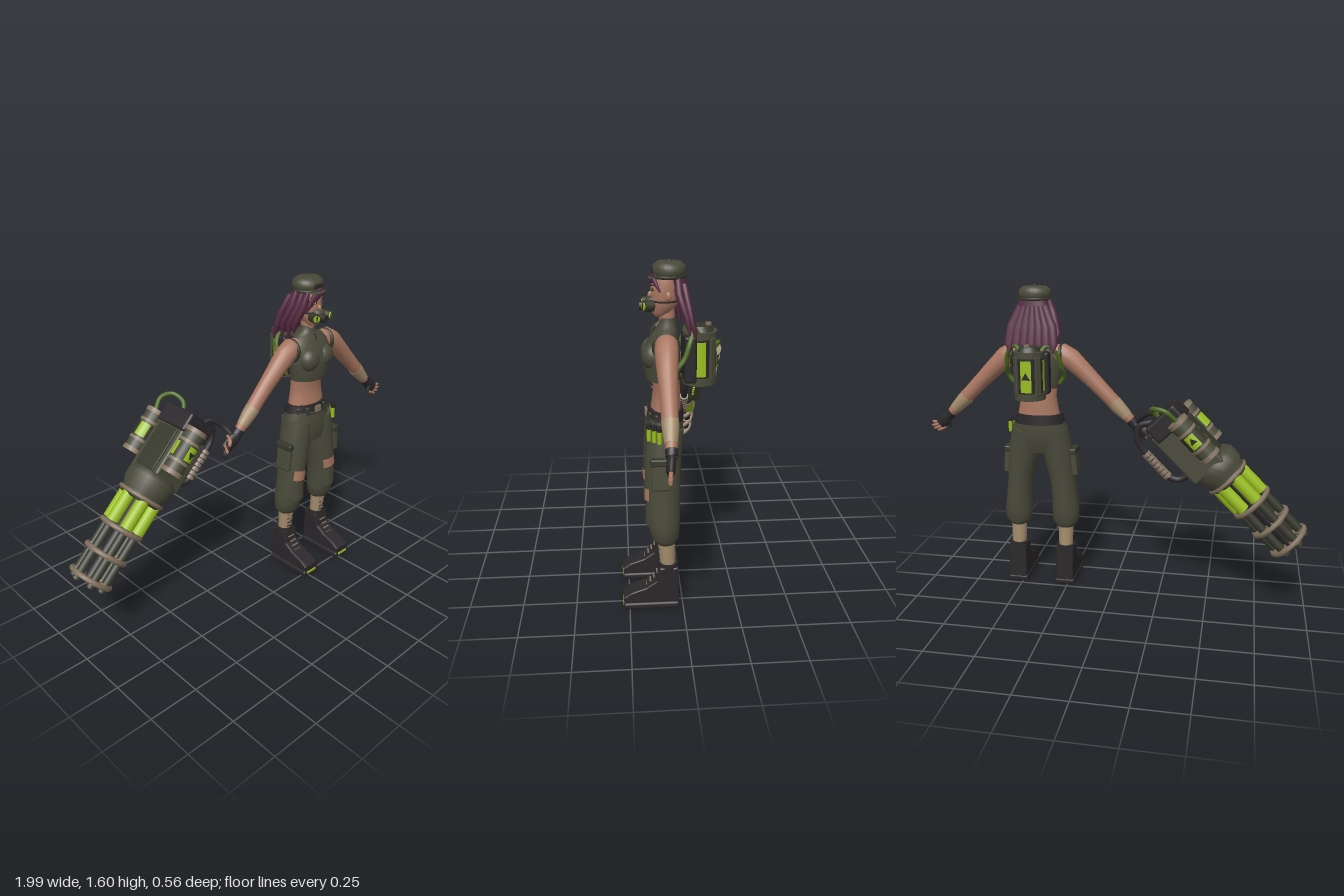
import * as THREE from 'three';
import { RoundedBoxGeometry } from 'three/addons/geometries/RoundedBoxGeometry.js';

const paint = (name, color) => {
  const m = new THREE.MeshStandardMaterial({ color });
  m.name = name;
  return m;
};
const CX = 0.395; // centre line of the figure

// Skin over elliptical rings [x, y, z, radius across, radius in z], closed at both ends
function loft(rings, n = 16) {
  const pos = [], idx = [];
  const ring = (i) => {
    const a = rings[Math.max(i - 1, 0)], b = rings[Math.min(i + 1, rings.length - 1)], c = rings[i];
    const d = Math.hypot(b[0] - a[0], b[1] - a[1]) || 1;
    const ux = (b[1] - a[1]) / d, uy = -(b[0] - a[0]) / d;
    const start = pos.length / 3;
    for (let j = 0; j < n; j++) {
      const t = (j / n) * Math.PI * 2, k = Math.cos(t) * c[3];
      pos.push(c[0] + ux * k, c[1] + uy * k, c[2] + Math.sin(t) * c[4]);
    }
    return start;
  };
  const starts = rings.map((_, i) => ring(i));
  for (let i = 0; i < rings.length - 1; i++) for (let j = 0; j < n; j++) {
    const k = (j + 1) % n, p = starts[i], q = starts[i + 1];
    idx.push(p + j, q + j, p + k, p + k, q + j, q + k);
  }
  [0, rings.length - 1].forEach((i) => {
    const s = ring(i), c = pos.length / 3;
    pos.push(rings[i][0], rings[i][1], rings[i][2]);
    for (let j = 0; j < n; j++) {
      const k = (j + 1) % n;
      if (i === 0) idx.push(c, s + j, s + k); else idx.push(c, s + k, s + j);
    }
  });
  const g = new THREE.BufferGeometry();
  g.setAttribute('position', new THREE.Float32BufferAttribute(pos, 3));
  g.setIndex(idx);
  g.computeVertexNormals();
  return g;
}
const hose = (pts, r) => new THREE.TubeGeometry(
  new THREE.CatmullRomCurve3(pts.map((p) => new THREE.Vector3(...p))), 28, r, 8);
const ball = (x, y, z) => new THREE.SphereGeometry(1, 20, 14).scale(x, y, z);
const cyl = (r, h, n = 16, r2 = r) => new THREE.CylinderGeometry(r, r2, h, n);
const box = (x, y, z, r = 0.008) => new RoundedBoxGeometry(x, y, z, 2, r);
const patch = (r, h, from, sweep) => new THREE.CylinderGeometry(r, r, h, 12, 1, true, from, sweep);

export function createModel() {
  const M = {
    skin: paint('skin', 0xa87660), olive: paint('olive cloth', 0x49493a), deep: paint('dark olive metal', 0x36372b),
    dark: paint('charcoal', 0x2b272a), green: paint('bright green', 0x98bd1e), hose: paint('hose green', 0x4d6a22),
    hair: paint('plum hair', 0x552a40), tan: paint('tan metal', 0x82725f), wrap: paint('bandage', 0xa38c6c),
  };
  const root = new THREE.Group();
  const add = (name, geo, mat, p = [0, 0, 0], r = [0, 0, 0], parent = root) => {
    const m = new THREE.Mesh(geo, mat);
    m.name = name;
    m.position.set(...p);
    m.rotation.set(...r);
    parent.add(m);
    return m;
  };

  // Torso, top and belt
  add('midriff', loft([[CX, .92, .07, .115, .07], [CX, .98, .067, .102, .064], [CX, 1.04, .065, .095, .06], [CX, 1.1, .075, .1, .066]], 24), M.skin);
  add('cropTop', loft([[CX, 1.08, .08, .108, .078], [CX, 1.15, .085, .121, .083], [CX, 1.22, .082, .128, .078],
    [CX, 1.275, .072, .122, .058], [CX, 1.305, .064, .085, .045], [CX, 1.32, .06, .042, .036], [CX, 1.35, .06, .037, .033]], 24), M.olive);
  for (const s of [-1, 1]) add('bust', ball(.058, .06, .05), M.olive, [CX + s * .052, 1.19, .126]);
  add('topZip', box(.006, .09, .006, .002), M.dark, [CX, 1.27, .128], [-.35, 0, 0]);
  add('belt', loft([[CX, .895, .073, .134, .086], [CX, .945, .07, .124, .08]], 24), M.dark);
  add('buckle', box(.04, .036, .012, .003), M.tan, [CX, .92, .157]);
  for (const d of [-.1, -.06, .06, .1]) add('beltPouch', box(.026, .045, .02), M.deep, [CX + d, .915, .154 - d * d * 4], [0, d * 5, 0]);
  for (const i of [0, 1, 2]) {
    add('hipVial', cyl(.01, .065, 10), M.green, [.525 + i * .02, .86, .15 - i * .022]);
    add('vialCap', cyl(.0125, .022, 10), M.dark, [.525 + i * .02, .895, .15 - i * .022]);
  }

  // Trousers
  add('hips', loft([[CX, .91, .073, .13, .084], [CX, .86, .076, .147, .086], [CX, .8, .08, .155, .086], [CX, .74, .085, .13, .07]], 24), M.olive);

  for (const s of [-1, 1]) {
    const X = (d) => CX + s * d;
    add('trouserLeg', loft([[X(.075), .86, .077, .072, .084], [X(.09), .75, .085, .08, .083], [X(.106), .65, .09, .073, .081],
      [X(.117), .57, .091, .067, .079], [X(.125), .48, .09, .069, .077], [X(.13), .41, .086, .073, .072],
      [X(.13), .355, .082, .07, .064], [X(.13), .325, .078, .045, .044]], 18), M.olive);
    add('kneeTear', patch(1, .055, -.7, 1.4).scale(.069, 1, .081), M.skin, [X(.117), .57, .092], [0, 0, s * .16]);
    add('kneePanel', patch(1, .1, -.6, 1.2).scale(.0715, 1, .079), M.olive, [X(.124), .475, .091]);
    add('cargoPocket', box(.034, .14, .09, .012), M.olive, [X(.18), .68, .1], [0, 0, s * .08]);
    add('pocketFlap', box(.038, .034, .096), M.deep, [X(.176), .742, .1], [0, 0, s * .08]);

    // Shins and boots
    add('shinWrap', loft([[X(.13), .19, .067, .036, .034], [X(.13), .26, .073, .039, .037], [X(.13), .35, .078, .042, .04]]), M.wrap);
    for (const y of [.235, .262, .289, .315]) add('shinLace', box(.042, .006, .004, .001), M.dark, [X(.13), y, .109], [0, 0, y > .25 ? .3 : -.3]);
    const side = new THREE.Shape([[.025, .03], [.268, .03], [.272, .058], [.24, .08], [.17, .105], [.12, .14], [.105, .205], [.03, .205]]
      .map((p) => new THREE.Vector2(...p)));
    const boot = new THREE.ExtrudeGeometry(side, { depth: .074, bevelEnabled: true, bevelSize: .006, bevelThickness: .01, bevelSegments: 2 });
    add('boot', boot.translate(0, 0, -.037).rotateY(-Math.PI / 2), M.dark, [X(.13), 0, 0]);
    add('sole', box(.108, .034, .262, .012), M.dark, [X(.13), .017, .148]);
    add('toeGlow', box(.07, .014, .006, .002), M.green, [X(.13), .022, .278]);
    add('bootCuff', loft([[X(.13), .195, .066, .051, .045], [X(.13), .222, .066, .051, .045]]), M.dark);
    for (const i of [0, 1, 2, 3]) add('bootLace', box(.042, .006, .008, .002), M.tan, [X(.13), .11 + i * .021, .168 - i * .016]);

    // Arms
    add('arm', loft([[X(.08), 1.265, .07, .035, .035], [X(.125), 1.257, .072, .052, .05], [X(.17), 1.23, .074, .054, .051],
      [X(.225), 1.18, .075, .047, .045], [X(.3), 1.107, .075, .041, .038], [X(.35), 1.057, .075, .038, .036],
      [X(.4), 1.005, .075, .037, .035], [X(.46), .945, .075, .028, .026], [X(.5), .905, .075, .023, .021]]), M.skin);
    add('forearmWrap', loft([[X(.39), 1.015, .075, .0385, .0365], [X(.415), .99, .075, .037, .035], [X(.46), .945, .075, .0295, .0275]]), M.wrap);
    add('shoulderStrap', new THREE.TorusGeometry(.052, .01, 8, 24), M.deep, [X(.125), 1.245, .072], [0, Math.PI / 2, 0]);
    add('gloveCuff', loft([[X(.478), .927, .075, .029, .027], [X(.5), .905, .075, .027, .025]]), M.dark);

    // Pack hose from the tank over to the ribs
    add('packHose', hose([[X(.045), 1.27, -.08], [X(.08), 1.31, -.05], [X(.125), 1.27, -.03], [X(.14), 1.2, -.005], [X(.145), 1.15, .03], [X(.12), 1.11, .04]], .011), M.hose);
  }

  // Open hand
  add('openPalm', loft([[.89, .91, .076, .024, .018], [.92, .882, .08, .034, .019], [.95, .858, .083, .03, .015]]), M.dark);
  [[.992, .868, .967], [.997, .845, .955], [.985, .828, .945], [.965, .818, .932]].forEach(([x, y, k], i) =>
    add('finger', loft([[k - .012, .87 - i * .01, .083, .009, .009], [(x + k) / 2, (y + .86 - i * .01) / 2, .085, .0085, .009], [x, y, .086, .005, .006]], 8), M.skin));
  add('thumb', loft([[.905, .88, .085, .011, .011], [.897, .855, .09, .01, .01], [.893, .838, .092, .006, .006]], 8), M.dark);
  // Closed hand
  add('gripPalm', loft([[-.1, .908, .075, .025, .024], [-.132, .885, .074, .038, .026], [-.17, .86, .072, .03, .022]]), M.dark);
  for (let i = 0; i < 4; i++) add('curledFinger', hose([[-.145 - i * .013, .91 - i * .017, .06], [-.163 - i * .01, .9 - i * .017, .095],
    [-.172 - i * .008, .88 - i * .016, .1], [-.165 - i * .008, .868 - i * .014, .075]], .0095), i % 2 ? M.dark : M.skin);

  // Head and face
  add('neck', loft([[CX, 1.3, .06, .036, .034], [CX, 1.4, .062, .032, .034]]), M.skin);
  add('head', loft([[CX, 1.355, .092, .02, .022], [CX, 1.375, .084, .041, .044], [CX, 1.41, .073, .055, .058],
    [CX, 1.45, .069, .061, .062], [CX, 1.5, .067, .063, .063], [CX, 1.54, .063, .052, .052]], 24), M.skin);
  add('nose', ball(.008, .017, .012), M.skin, [CX, 1.447, .133]);
  for (const s of [-1, 1]) {
    add('ear', ball(.009, .02, .013), M.skin, [CX + s * .062, 1.45, .058]);
    add('eye', ball(.014, .006, .004), M.dark, [CX + s * .027, 1.475, .126], [0, s * .4, 0]);
    add('iris', ball(.005, .005, .003), M.green, [CX + s * .027, 1.475, .129], [0, s * .4, 0]);
    add('brow', box(.03, .006, .006, .002), M.hair, [CX + s * .028, 1.493, .126], [0, s * .4, s * .15]);
    add('maskFilter', cyl(.025, .04, 16), M.deep, [CX + s * .043, 1.408, .143], [Math.PI / 2, 0, -s * .35]);
    add('filterLens', cyl(.017, .006, 16), M.green, [CX + s * .05, 1.408, .164], [Math.PI / 2, 0, -s * .35]);
    add('lensBar', box(.005, .03, .004, .001), M.dark, [CX + s * .051, 1.408, .168], [0, s * .35, 0]);
  }
  add('mask', ball(.042, .036, .034), M.olive, [CX, 1.412, .124]);
  add('maskSnout', cyl(.018, .035, 14, .023), M.dark, [CX, 1.402, .164], [Math.PI / 2, 0, 0]);
  add('maskStrap', new THREE.TorusGeometry(1, .06, 6, 32).rotateX(Math.PI / 2).scale(.061, .07, .062), M.dark, [CX, 1.425, .072]);

  // Cap
  const cap = new THREE.LatheGeometry([[.066, 0], [.078, .012], [.083, .032], [.077, .052], [.058, .066], [0, .07]]
    .map((p) => new THREE.Vector2(...p)), 24);
  add('cap', cap.scale(1, 1, .9), M.olive, [CX, 1.523, .052]);
  add('capBand', new THREE.TorusGeometry(.074, .008, 8, 28).rotateX(Math.PI / 2).scale(1, 1, .93), M.deep, [CX, 1.53, .054]);
  add('capBrim', ball(.06, .007, .045), M.olive, [CX, 1.528, .1], [.15, 0, 0]);
  add('capPlate', box(.06, .02, .008, .003), M.dark, [CX, 1.555, .124]);
  add('capButton', ball(.01, .006, .01), M.deep, [CX, 1.593, .052]);

  // Hair: a back sheet with separate locks
  add('hairBack', loft([[CX, 1.545, .025, .05, .04], [CX, 1.5, .012, .075, .032], [CX, 1.44, -.004, .088, .024],
    [CX, 1.37, -.024, .105, .019], [CX, 1.31, -.042, .11, .013]], 24), M.hair);
  for (let i = 0; i < 7; i++) {
    const d = (i - 3) / 3, x = CX + d * .1;
    add('hairLock', loft([[CX + d * .06, 1.5, -.006, .018, .016], [x, 1.4, -.026, .026, .016], [x + d * .012, 1.32, -.046, .024, .013],
      [x + d * .01, 1.275 + (i % 2) * .015, -.055, .004, .004]], 10), M.hair);
  }
  [[.335, .075, .29, 1.285], [.345, .1, .302, 1.32], [.325, .045, .278, 1.3], [.45, .02, .505, 1.29]].forEach(([x, z, x2, y2]) =>
    add('sideLock', loft([[x, 1.53, z, .012, .014], [x - .002 + (x2 - x) * .4, 1.46, z - .005, .022, .018],
      [x2, 1.37, z - .035, .022, .016], [x2 + .005, y2, z - .05, .004, .004]], 10), M.hair));
  add('fringe', loft([[.44, 1.54, .1, .012, .012], [.405, 1.523, .124, .024, .012], [.365, 1.49, .121, .024, .013], [.336, 1.43, .1, .005, .006]], 12), M.hair);
  add('fringeShort', loft([[.41, 1.54, .11, .01, .01], [.437, 1.515, .118, .016, .01], [.457, 1.47, .095, .004, .005]], 10), M.hair);

  // Tank pack
  add('packFrame', box(.18, .21, .055, .012), M.dark, [CX, 1.175, -.035]);
  add('packTank', cyl(.07, .2, 20), M.dark, [CX, 1.175, -.085]);
  for (const [y, h] of [[1.275, .03], [1.07, .034]]) add('tankCap', cyl(.077, h, 20), M.olive, [CX, y, -.083]);
  add('tankLid', cyl(.045, .025, 16, .06), M.deep, [CX, 1.3, -.085]);
  add('tankValve', cyl(.014, .018, 10), M.tan, [CX, 1.315, -.12]);
  for (const a of [-1.7, 0, 1.7]) add('tankPanel', patch(.073, .155, Math.PI + a - .38, .76), M.green, [CX, 1.173, -.085]);
  for (const a of [-.85, .85]) add('tankRib', box(.03, .19, .02, .004), M.olive, [CX + Math.sin(a) * .07, 1.172, -.085 - Math.cos(a) * .07], [0, -a, 0]);
  add('tankMark', cyl(.024, .006, 3), M.dark, [CX, 1.17, -.157], [-Math.PI / 2, 0, 0]);

  // Rotary gun: local y runs from the muzzle to the rear
  const gun = new THREE.Group();
  gun.name = 'rotaryGun';
  gun.position.set(-.917, .364, -.065);
  gun.rotation.z = -Math.PI / 4;
  root.add(gun);
  const part = (name, geo, mat, p, r) => add(name, geo, mat, p, r, gun);
  part('spindle', cyl(.034, .47, 12), M.dark, [0, .255, 0]);
  for (let i = 0; i < 6; i++) {
    const a = (i / 6) * Math.PI * 2, x = Math.cos(a) * .078, z = Math.sin(a) * .078;
    part('barrel', cyl(.022, .48, 12), M.deep, [x, .24, z]);
    part('glowTube', cyl(.032, .15, 12), M.green, [x, .385, z]);
    for (const y of [.03, .16]) part('barrelClamp', cyl(.03, .024, 12), M.tan, [x, y, z]);
    part('bore', cyl(.014, .004, 10), M.dark, [x, -.001, z]);
  }
  for (const y of [.03, .16, .295]) part('barrelRing', new THREE.TorusGeometry(.1, .013, 8, 24), M.tan, [0, y, 0], [Math.PI / 2, 0, 0]);
  const collar = [[0, .45], [.1, .45], [.112, .462], [.112, .48], [.105, .485], [.122, .52], [.122, .57], [.1, .6], [0, .6]];
  part('collar', new THREE.LatheGeometry(collar.map((p) => new THREE.Vector2(...p)), 20), M.olive);
  part('collarRing', new THREE.TorusGeometry(.109, .01, 8, 24), M.tan, [0, .47, 0], [Math.PI / 2, 0, 0]);
  part('housing', box(.19, .31, .19, .014), M.olive, [.025, .715, -.015]);
  part('rearBlock', box(.185, .1, .2, .014), M.dark, [.014, .875, -.015]);
  part('topPlate', box(.012, .22, .13, .004), M.deep, [-.072, .71, -.015]);
  for (let i = 0; i < 6; i++) part('ventLight', box(.008, .018, .012, .002), M.green, [.121, .65 + i * .026, -.065]);

  // Side canisters
  for (const [z, s] of [[.135, 1], [-.163, -1]]) {
    const c = [-.05, .745, z];
    part('canister', cyl(.049, .22, 18), M.olive, c);
    for (const d of [-.107, .107]) part('canisterCap', cyl(.053, .022, 18), M.tan, [c[0], c[1] + d, z]);
    for (const d of [-.05, .05]) part('canisterBand', cyl(.053, .014, 18), M.tan, [c[0], c[1] + d, z]);
    part('canisterLabel', cyl(.051, .076, 18), M.deep, c);
    for (const a of [0, 2.1, -2.1]) part('canisterGlow', patch(.053, .07, (s > 0 ? 0 : Math.PI) + a - .5, 1), M.green, c);
    part('canisterMark', cyl(.02, .006, 3), M.dark, [c[0], c[1], z + s * .053], [s * Math.PI / 2, 0, 0]);
    part('canisterMount', box(.06, .09, .06), M.dark, [c[0] + .02, c[1], z - s * .05]);
  }
  part('feedHose', hose([[-.05, .84, -.17], [-.05, .93, -.195], [-.015, .975, -.175], [.015, .965, -.11], [.02, .9, -.07]], .011), M.hose);

  // Handles
  part('gripFrame', hose([[.1, .6, 0], [.185, .615, 0], [.215, .66, 0], [.215, .82, 0], [.2, .895, 0], [.145, .945, 0], [.06, .9, 0]], .016), M.dark);
  for (let i = 0; i < 7; i++) part('gripSegment', cyl(.023, .019, 12), M.tan, [.216, .672 + i * .024, 0]);
  part('carryHandle', hose([[.03, .9, .05], [.07, .95, .06], [.13, .96, .09], [.175, .945, .13], [.2, .9, .14], [.2, .86, .135]], .013), M.dark);

  return root;
}
